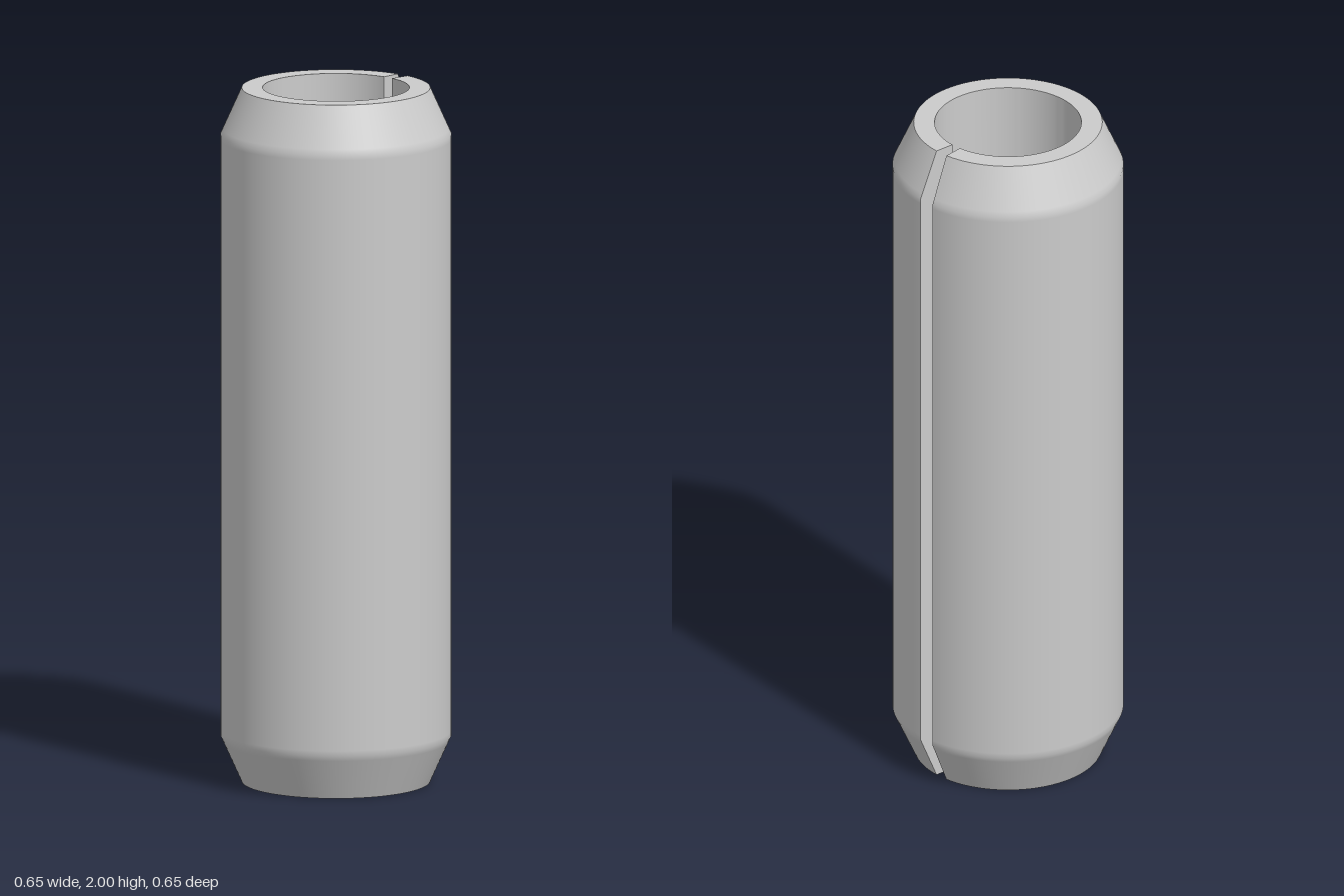
import * as THREE from 'three';
import { toCreasedNormals } from 'three/addons/utils/BufferGeometryUtils.js';

const H = 2, CHAMFER = 0.133;                 // height, chamfer height
const R_OUT = 0.327, R_END = 0.267, R_IN = 0.208;
const GAP = 0.0735;                           // half angle of the slot on the +x side

export function createModel() {
  const group = new THREE.Group();
  group.name = 'slottedSpringPin';
  const material = new THREE.MeshStandardMaterial({ color: 0xcccccc });

  // Closed wall section; loops beside each chamfer edge keep the shading blend tight
  const soft = 0.015;
  const rSoft = R_OUT - (R_OUT - R_END) * soft / CHAMFER;
  const section = [
    [R_IN, 0], [R_END, 0],
    [rSoft, CHAMFER - soft], [R_OUT, CHAMFER], [R_OUT, CHAMFER + soft],
    [R_OUT, H - CHAMFER - soft], [R_OUT, H - CHAMFER], [rSoft, H - CHAMFER + soft],
    [R_END, H], [R_IN, H], [R_IN, 0],
  ].map(([r, y]) => new THREE.Vector2(r, y));

  // Tube swept around the axis, left open at the slot
  const sweep = new THREE.LatheGeometry(section, 128, Math.PI / 2 + GAP, 2 * (Math.PI - GAP));
  const tube = new THREE.Mesh(toCreasedNormals(sweep, 0.6), material);
  tube.name = 'tubeWall';
  group.add(tube);

  // Flat radial faces closing the wall on each side of the slot
  for (const [name, side, angle] of [
    ['slotFaceBack', 1, GAP],
    ['slotFaceFront', -1, Math.PI - GAP],
  ]) {
    const shape = new THREE.Shape(section.slice(0, -1).map(p => new THREE.Vector2(side * p.x, p.y)));
    const face = new THREE.Mesh(new THREE.ShapeGeometry(shape).rotateY(angle), material);
    face.name = name;
    group.add(face);
  }
  return group;
}
